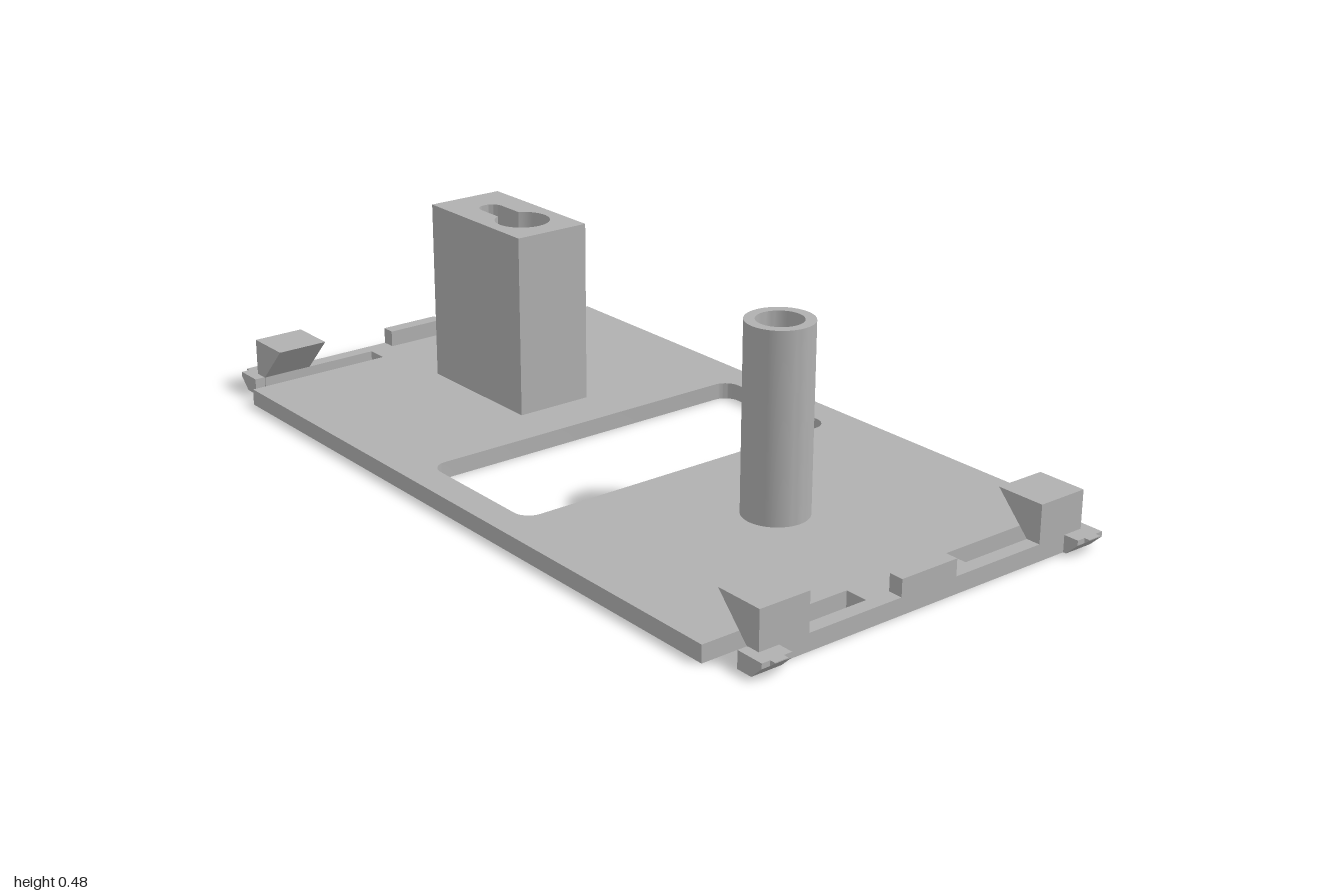
import * as THREE from 'three';
import { toCreasedNormals } from 'three/addons/utils/BufferGeometryUtils.js';

const grey = new THREE.MeshStandardMaterial({ color: 0xb0b0b0 });
grey.name = 'grey plastic';

function part(name, geometry) {
  const mesh = new THREE.Mesh(geometry, grey);
  mesh.name = name;
  return mesh;
}

// Extrude a plan shape (x, -z) upward from y0 to y1
function slab(shape, y0, y1) {
  const g = new THREE.ExtrudeGeometry(shape, { depth: y1 - y0, bevelEnabled: false, curveSegments: 16 });
  g.rotateX(-Math.PI / 2).translate(0, y0, 0);
  return toCreasedNormals(g, 0.6);
}

// Extrude a side profile of [z, y] points across a width centred on x
function sideProfile(points, x, width) {
  const shape = new THREE.Shape(points.map(([z, y]) => new THREE.Vector2(z, y)));
  const g = new THREE.ExtrudeGeometry(shape, { depth: width, bevelEnabled: false });
  return g.translate(0, 0, -width / 2).rotateY(-Math.PI / 2).translate(x, 0, 0);
}

function roundedRect(w, h, r) {
  const p = new THREE.Path();
  p.absarc(w - r, h - r, r, 0, Math.PI / 2);
  p.absarc(-w + r, h - r, r, Math.PI / 2, Math.PI);
  p.absarc(-w + r, -h + r, r, Math.PI, Math.PI * 1.5);
  p.absarc(w - r, -h + r, r, Math.PI * 1.5, Math.PI * 2);
  p.closePath();
  return p;
}

export function createModel() {
  const model = new THREE.Group();
  model.name = 'mountingPlate';

  // Base plate with flexible arms at both ends and a central window
  const quarter = [[0.515, 0.86], [0.14, 0.86], [0.14, 0.915], [0.45, 0.915], [0.45, 0.95]];
  const flip = (sx, sy) => quarter.map(([x, y]) => new THREE.Vector2(x * sx, y * sy));
  const outline = new THREE.Shape([
    ...flip(1, 1), ...flip(-1, 1).reverse(), ...flip(-1, -1), ...flip(1, -1).reverse(),
  ]);
  outline.holes.push(roundedRect(0.44, 0.183, 0.04));
  model.add(part('basePlate', slab(outline, 0, 0.04)));

  // Tall block with a keyhole recess
  const block = new THREE.Shape([
    new THREE.Vector2(-0.097, 0.31), new THREE.Vector2(0.097, 0.31),
    new THREE.Vector2(0.097, 0.672), new THREE.Vector2(-0.097, 0.672),
  ]);
  const keyhole = new THREE.Path();
  const neck = Math.asin(0.03 / 0.066);
  keyhole.absarc(0, 0.43, 0.066, Math.PI / 2 + neck, Math.PI * 2.5 - neck);
  keyhole.absarc(0, 0.558, 0.03, 0, Math.PI);
  keyhole.closePath();
  block.holes.push(keyhole);
  model.add(part('keyholeBlock', slab(block, 0.04, 0.48)));

  // Hollow round post
  const tube = [[0.077, 0.04], [0.077, 0.48], [0.053, 0.48], [0.053, 0.04]];
  const post = new THREE.LatheGeometry(tube.map(([r, y]) => new THREE.Vector2(r, y)), 48);
  const postMesh = part('hollowPost', toCreasedNormals(post, 0.6));
  postMesh.position.z = 0.49;
  model.add(postMesh);

  // Matching clips, hooks and tab at both ends
  for (const [name, turn] of [['frontEnd', 0], ['backEnd', Math.PI]]) {
    const end = new THREE.Group();
    end.name = name;
    end.rotation.y = turn;

    const tab = part('centreTab', new THREE.BoxGeometry(0.154, 0.04, 0.035));
    tab.position.set(0, 0.06, 0.9325);
    end.add(tab);

    for (const side of [-1, 1]) {
      end.add(part('wedgeClip', sideProfile(
        [[0.915, 0.04], [0.95, 0.04], [0.95, 0.13], [0.83, 0.13]], side * 0.387, 0.128)));
      end.add(part('latchHook', sideProfile(
        [[0.918, 0], [0.958, 0], [0.987, 0.028], [0.987, 0.04], [0.918, 0.04]], side * 0.438, 0.076)));
      end.add(part('hookTip', sideProfile(
        [[0.98, 0.022], [1, 0.038], [1, 0.04], [0.98, 0.04]], side * 0.438, 0.034)));
    }
    model.add(end);
  }
  return model;
}
